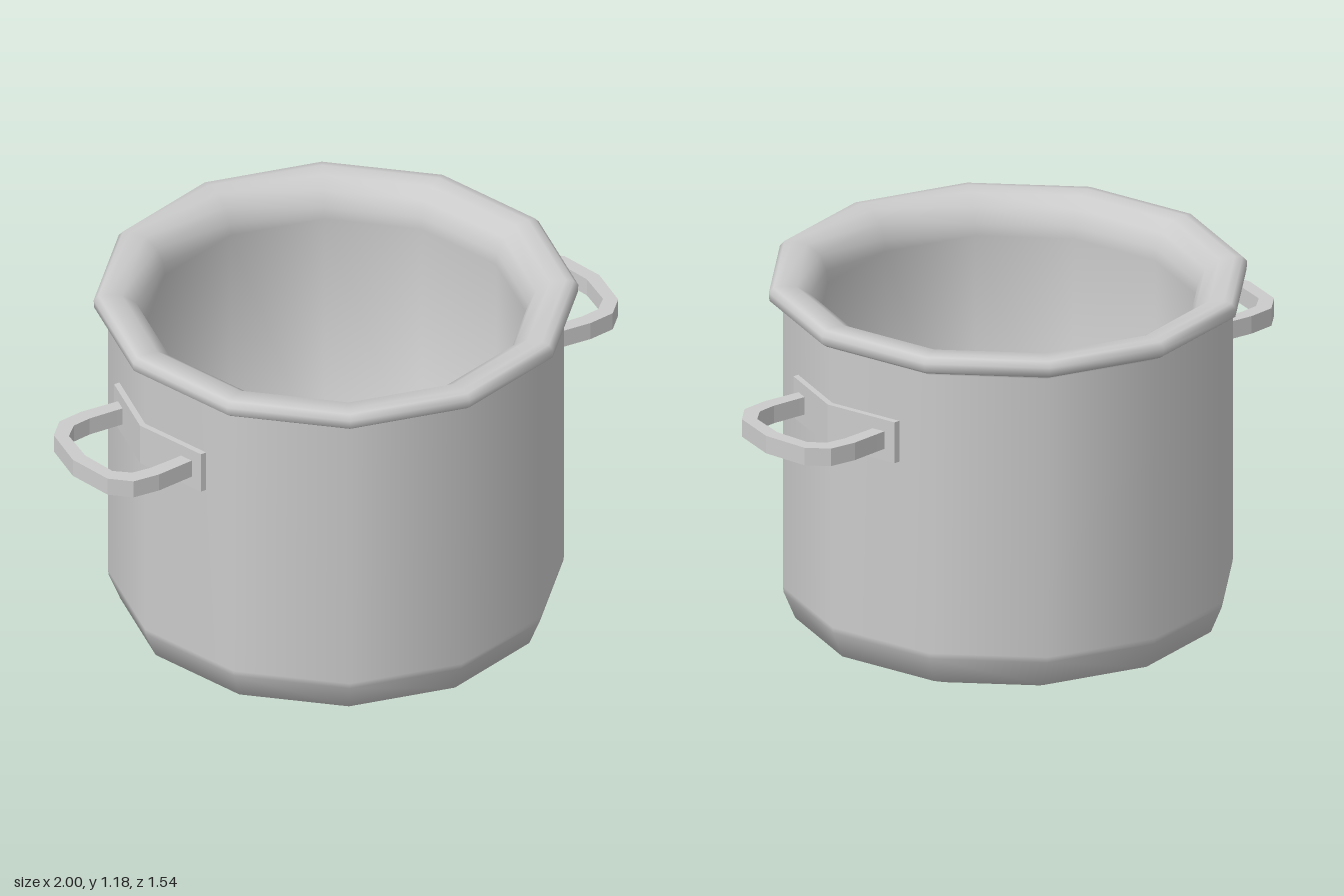
import * as THREE from 'three';

const grey = new THREE.MeshStandardMaterial({ color: 0xcccccc });
const points = (list) => list.map(([x, y]) => new THREE.Vector2(x, y));

function addMesh(parent, name, geometry) {
  const mesh = new THREE.Mesh(geometry, grey);
  mesh.name = name;
  parent.add(mesh);
  return mesh;
}

// Plan outline (x, z), mirrored across z = 0 by the caller, raised from y0 to y1
function slab(outline, y0, y1) {
  const geometry = new THREE.ExtrudeGeometry(new THREE.Shape(points(outline)), {
    depth: y1 - y0, bevelEnabled: false,
  });
  geometry.rotateX(Math.PI / 2);
  geometry.translate(0, y1, 0);
  return geometry;
}

// Half outline ending on z = 0, completed by its mirror image
const mirrored = (half) => [...half, ...half.slice(0, -1).reverse().map(([x, z]) => [x, -z])];

function createHandle(name) {
  const handle = new THREE.Group();
  handle.name = name;

  // Grip: a flat bar bent into a loop
  const outer = mirrored([[0.66, 0.21], [0.72, 0.215], [0.82, 0.224], [0.91, 0.214], [0.97, 0.155], [1, 0]]);
  const inner = mirrored([[0.66, 0.165], [0.72, 0.17], [0.82, 0.176], [0.885, 0.168], [0.932, 0.125], [0.953, 0]]);
  addMesh(handle, 'grip', slab([...outer, ...inner.reverse()], 0.825, 0.885));

  // Mounting plate, folded around the corner of the wall
  const plateOuter = mirrored([[0.678, 0.25], [0.745, 0]]);
  const plateInner = mirrored([[0.655, 0.25], [0.72, 0]]);
  addMesh(handle, 'mountingPlate', slab([...plateOuter, ...plateInner.reverse()], 0.785, 0.925));
  return handle;
}

export function createModel() {
  const pot = new THREE.Group();
  pot.name = 'cookingPot';

  // Twelve-sided body: base, wall, rolled rim, inner wall and floor
  const profile = points([
    [0, 0], [0.57, 0], [0.59, 0.004],
    [0.685, 0.045], [0.722, 0.135], [0.725, 0.155],
    [0.725, 1.11], [0.726, 1.124], [0.75, 1.125],
    [0.768, 1.138], [0.77, 1.165], [0.755, 1.182],
    [0.73, 1.185], [0.68, 1.18], [0.635, 1.15], [0.612, 1.1], [0.608, 1.06],
    [0.608, 0.1], [0, 0.1],
  ]);
  addMesh(pot, 'body', new THREE.LatheGeometry(profile, 12));

  // Handles on both sides
  pot.add(createHandle('leftHandle'));
  const rightHandle = createHandle('rightHandle');
  rightHandle.rotation.y = Math.PI;
  pot.add(rightHandle);
  return pot;
}
